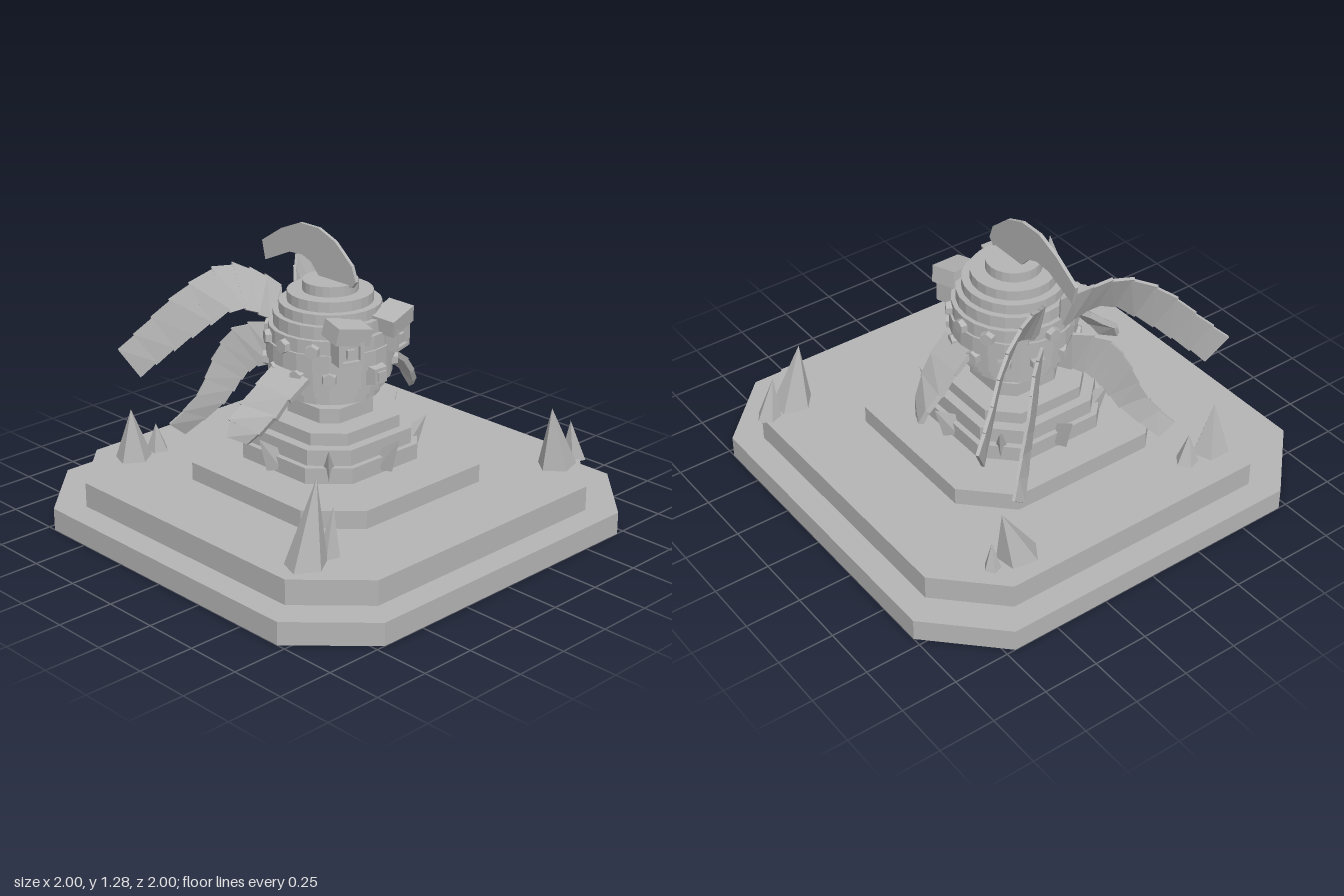
import * as THREE from 'three';
import { ConvexGeometry } from 'three/addons/geometries/ConvexGeometry.js';

const stone = new THREE.MeshStandardMaterial({ color: 0xb4b4b4, flatShading: true });
stone.name = 'grey stone';
const CZ = -0.035; // depth of the head axis
const V = (a) => new THREE.Vector3(...a);

function add(parent, name, geo, x = 0, y = 0, z = 0) {
  const m = new THREE.Mesh(geo, stone);
  m.name = name;
  m.position.set(x, y, z);
  parent.add(m);
  return m;
}

// Square slab with cut corners: h = half width, c = where the cut starts
function slab(parent, name, h, c, y0, y1, z = 0) {
  const pts = [[h, c], [c, h], [-c, h], [-h, c], [-h, -c], [-c, -h], [c, -h], [h, -c]];
  const shape = new THREE.Shape(pts.map(([x, y]) => new THREE.Vector2(x, y)));
  const geo = new THREE.ExtrudeGeometry(shape, { depth: y1 - y0, bevelEnabled: false });
  geo.rotateX(-Math.PI / 2);
  add(parent, name, geo, 0, y0, z);
}

// Pleated fin made of thin plates strung between two edge curves
function fin(parent, name, edgeA, edgeB, n, side, thick = 0.014) {
  const flip = (p) => V([p[0] * side, p[1], p[2]]);
  const a = new THREE.CatmullRomCurve3(edgeA.map(flip));
  const b = new THREE.CatmullRomCurve3(edgeB.map(flip));
  const group = new THREE.Group();
  group.name = name;
  for (let i = 0; i < n; i++) {
    const [t0, t1] = [i / n, Math.min(1, (i + 1.12) / n)];
    const [a0, b0, a1, b1] = [a.getPoint(t0), b.getPoint(t0), a.getPoint(t1), b.getPoint(t1)];
    // each plate starts a little narrower than it ends
    const s0 = a0.clone().lerp(b0, 0.05), s1 = b0.clone().lerp(a0, 0.05);
    const normal = a1.clone().sub(b0).cross(b1.clone().sub(a0)).normalize().multiplyScalar(thick / 2);
    const pts = [s0, s1, a1, b1].flatMap((p) => [p.clone().add(normal), p.clone().sub(normal)]);
    add(group, 'finPlate', new ConvexGeometry(pts));
  }
  parent.add(group);
}

// Leaning crystal with its foot on the second step
function crystal(parent, x, z, rx, rz, tipX, tipY, turn) {
  const base = [0, 1, 2, 3, 4].map((i) => {
    const t = turn + (i / 5) * Math.PI * 2;
    return V([x + Math.cos(t) * rx, 0.2, z + Math.sin(t) * rz]);
  });
  add(parent, 'crystal', new ConvexGeometry([...base, V([tipX, tipY, z + 0.01])]));
}

export function createModel() {
  const model = new THREE.Group();
  model.name = 'crestedIdol';

  // Stepped plinth
  slab(model, 'baseStep', 1, 0.71, 0, 0.1);
  slab(model, 'middleStep', 0.885, 0.63, 0.1, 0.21);
  slab(model, 'topStep', 0.53, 0.34, 0.21, 0.29);
  slab(model, 'collarLow', 0.335, 0.195, 0.29, 0.36, CZ);
  slab(model, 'collarMiddle', 0.31, 0.18, 0.36, 0.43, CZ);
  slab(model, 'collarHigh', 0.265, 0.155, 0.43, 0.485, CZ);
  slab(model, 'collarTop', 0.16, 0.1, 0.485, 0.55, CZ);

  // Head: stacked discs as [radius, bottom, top]
  const discs = [
    [0.13, 0.55, 0.58], [0.175, 0.575, 0.585], [0.215, 0.58, 0.62], [0.24, 0.62, 0.66],
    [0.265, 0.66, 0.74], [0.275, 0.74, 0.82], [0.265, 0.82, 0.88], [0.245, 0.88, 0.935],
    [0.22, 0.935, 0.98], [0.185, 0.98, 1.025], [0.12, 1.025, 1.07],
  ];
  for (const [r, y0, y1] of discs) {
    add(model, 'headDisc', new THREE.CylinderGeometry(r, r, y1 - y0, 24), 0, (y0 + y1) / 2, CZ);
  }

  // Two rings of six-sided studs
  for (const [y, r, offset] of [[0.835, 0.268, 0], [0.715, 0.268, 15]]) {
    for (let i = 0; i < 12; i++) {
      const t = ((i * 30 + offset) * Math.PI) / 180;
      if (Math.sin(t) > 0.8) continue; // leave the face clear
      const geo = new THREE.CylinderGeometry(0.03, 0.037, 0.04, 6);
      geo.rotateX(Math.PI / 2);
      const stud = add(model, 'stud', geo, Math.cos(t) * r, y, CZ + Math.sin(t) * r);
      stud.rotation.y = Math.PI / 2 - t;
    }
  }

  // Collar spikes leaning outward
  for (let i = 0; i < 8; i++) {
    const pts = [V([-0.036, 0.3, 0.32]), V([0.036, 0.3, 0.32]), V([0, 0.3, 0.375]),
      V([0, 0.38, 0.3]), V([0, 0.455, 0.415])];
    const spike = add(model, 'collarSpike', new ConvexGeometry(pts), 0, 0, CZ);
    spike.rotation.y = (i * Math.PI) / 4;
  }

  // Nose
  const nose = new THREE.CylinderGeometry(0.048, 0.062, 0.05, 4, 1, false, Math.PI / 4);
  nose.rotateX(Math.PI / 2);
  add(model, 'nose', nose, 0, 0.715, 0.245);
  add(model, 'noseTip', new THREE.BoxGeometry(0.045, 0.04, 0.02), 0, 0.715, 0.27);

  for (const s of [1, -1]) {
    // Eye with raised frame and pupil
    const eye = new THREE.Group();
    eye.name = 'eye';
    eye.position.set(s * 0.137, 0.845, 0.2);
    eye.rotation.y = s * 0.3;
    add(eye, 'eyeBlock', new THREE.BoxGeometry(0.115, 0.105, 0.07));
    for (const k of [-1, 1]) {
      add(eye, 'eyeFrameSide', new THREE.BoxGeometry(0.018, 0.105, 0.025), k * 0.05, 0, 0.04);
      add(eye, 'eyeFrameBar', new THREE.BoxGeometry(0.1, 0.016, 0.025), 0, k * 0.045, 0.04);
    }
    add(eye, 'pupil', new THREE.BoxGeometry(0.035, 0.04, 0.02), 0, -0.005, 0.04);
    model.add(eye);

    // Heavy slanted brow
    const brow = add(model, 'brow', new THREE.BoxGeometry(0.165, 0.075, 0.12), s * 0.13, 0.922, 0.2);
    brow.rotation.set(0.12, s * 0.25, s * 0.15);

    // Upper back wing
    fin(model, 'upperWing',
      [[0.04, 1.0, -0.3], [0.12, 1.06, -0.38], [0.24, 1.1, -0.45], [0.41, 1.01, -0.52], [0.53, 0.88, -0.6], [0.65, 0.75, -0.67]],
      [[0.06, 0.8, -0.27], [0.15, 0.87, -0.3], [0.24, 0.91, -0.35], [0.36, 0.83, -0.43], [0.47, 0.73, -0.52], [0.58, 0.62, -0.61]], 9, s);

    // Lower back wing
    fin(model, 'lowerWing',
      [[0.08, 0.83, -0.34], [0.2, 0.8, -0.44], [0.27, 0.66, -0.5], [0.33, 0.5, -0.53], [0.43, 0.36, -0.61]],
      [[0.05, 0.62, -0.27], [0.12, 0.62, -0.36], [0.17, 0.56, -0.41], [0.23, 0.45, -0.46], [0.36, 0.3, -0.59]], 8, s);

    // Side fin
    fin(model, 'sideFin',
      [[0.25, 0.71, 0.11], [0.34, 0.65, 0.09], [0.4, 0.58, 0.07], [0.46, 0.51, 0.03], [0.49, 0.46, -0.02]],
      [[0.25, 0.74, -0.11], [0.35, 0.67, -0.11], [0.43, 0.6, -0.12], [0.5, 0.55, -0.12], [0.53, 0.48, -0.1]], 4, s, 0.024);
  }

  // Curved crest, drawn in (z, y) and turned into the middle plane
  const outline = [[0.125, 1.09], [0.1, 1.155], [0, 1.24], [-0.1, 1.278], [-0.215, 1.278], [-0.33, 1.23],
    [-0.455, 1.15], [-0.435, 1.065], [-0.28, 1.135], [-0.2, 1.14], [-0.145, 1.12], [-0.09, 1.06], [0.1, 1.06]];
  const crest = new THREE.ExtrudeGeometry(
    new THREE.Shape(outline.map(([z, y]) => new THREE.Vector2(-z, y))), { depth: 0.016, bevelEnabled: false });
  crest.translate(0, 0, -0.008);
  crest.rotateY(Math.PI / 2);
  add(model, 'crest', crest);

  // Crystal pairs near the corners
  const crystals = [
    [-0.74, 0.595, 0.1, 0.085, -0.69, 0.57, 0.3], [-0.615, 0.595, 0.055, 0.05, -0.6, 0.42, 0],
    [0.72, 0.645, 0.1, 0.085, 0.66, 0.495, 0.6], [0.85, 0.63, 0.055, 0.06, 0.81, 0.39, 0],
    [-0.56, -0.705, 0.09, 0.08, -0.575, 0.445, 0.3], [-0.425, -0.705, 0.055, 0.055, -0.44, 0.34, 0],
    [0.5, -0.745, 0.1, 0.085, 0.58, 0.455, 0.5], [0.635, -0.745, 0.04, 0.04, 0.63, 0.33, 0],
  ];
  for (const c of crystals) crystal(model, ...c);

  return model;
}
